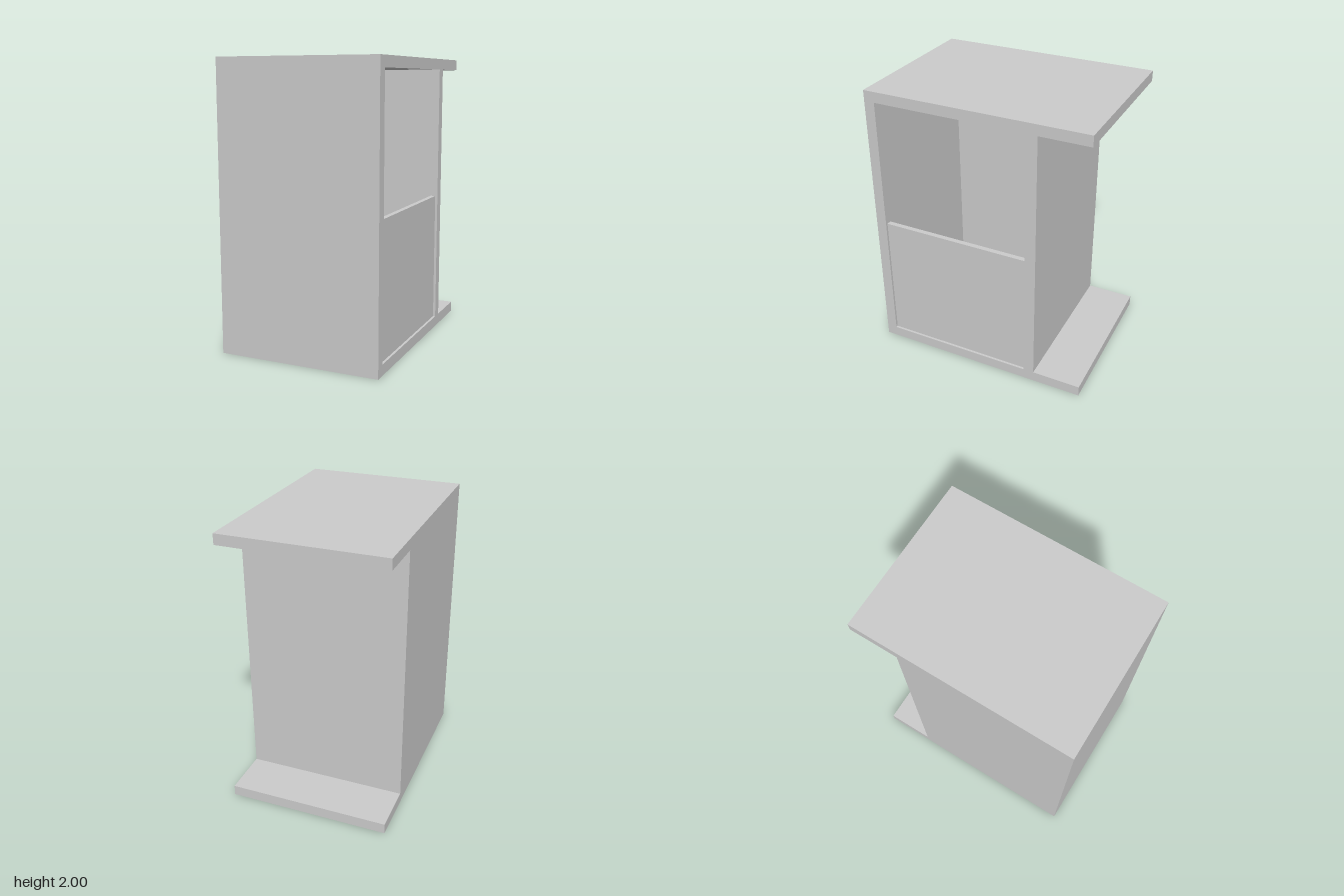
import * as THREE from 'three';

// Overall half sizes and board thickness
const X = 0.573, Z = 0.787, T = 0.075;
const BACK = -0.44; // outer face of the back board

export function createModel() {
  const group = new THREE.Group();
  const material = new THREE.MeshStandardMaterial({ color: 0xcccccc, flatShading: true });

  // Profile in the z-y plane, extruded across the width
  const extrude = (name, shape, x0, x1) => {
    const geometry = new THREE.ExtrudeGeometry(shape, { depth: x1 - x0, bevelEnabled: false });
    geometry.rotateY(-Math.PI / 2); // shape x -> z, depth -> -x
    geometry.translate(x1, 0, 0);
    const mesh = new THREE.Mesh(geometry, material);
    mesh.name = name;
    group.add(mesh);
  };
  const polygon = (points) => new THREE.Shape(points.map(([z, y]) => new THREE.Vector2(z, y)));

  // Outline: box body whose top and bottom boards run on behind the back board
  const outline = [
    [-Z, 0], [Z, 0], [Z, 2], [-Z, 2],
    [-Z, 2 - T], [BACK, 2 - T], [BACK, T], [-Z, T],
  ];

  // Carcass with the compartment open through to the side wall
  const frame = polygon(outline);
  frame.holes.push(polygon([[BACK + T, T], [BACK + T, 2 - T], [Z - T, 2 - T], [Z - T, T]]));
  extrude('carcass', frame, -X + T, X);

  // Closed right side
  extrude('sideWall', polygon(outline), -X, -X + T);

  // Low panel set slightly into the open side
  const panelDepth = Z - T - (BACK + T);
  const panel = new THREE.Mesh(new THREE.BoxGeometry(0.035, 1 - T, panelDepth), material);
  panel.name = 'lowerPanel';
  panel.position.set(X - 0.017 - 0.0175, (1 + T) / 2, (Z + BACK) / 2);
  group.add(panel);

  return group;
}
